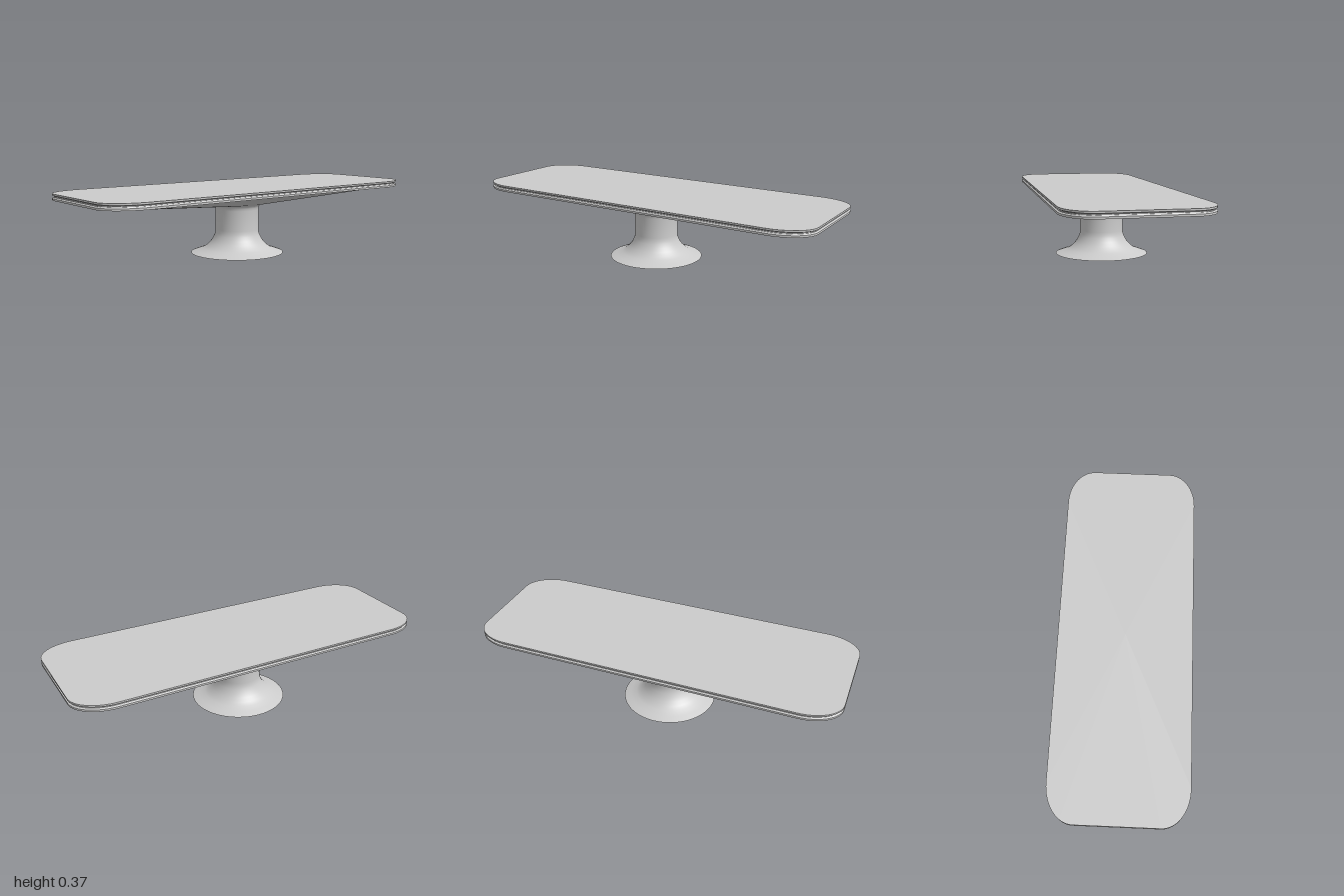
import * as THREE from 'three';
import { toCreasedNormals } from 'three/addons/utils/BufferGeometryUtils.js';

const STEPS = 16; // segments per corner

// Rounded rectangle (or circle, when the corner radii equal the half sizes) at height y
function ring(y, hw, hl, rx = hw, rz = hl) {
  const points = [];
  for (let corner = 0; corner < 4; corner++) {
    const sx = corner === 0 || corner === 3 ? 1 : -1;
    const sz = corner < 2 ? 1 : -1;
    for (let i = 0; i <= STEPS; i++) {
      const a = (corner + i / STEPS) * Math.PI / 2;
      points.push(new THREE.Vector3(sx * (hw - rx) + rx * Math.cos(a), y, sz * (hl - rz) + rz * Math.sin(a)));
    }
  }
  return points;
}

// Skin through rings listed from bottom to top, with optional flat caps
function loft(rings, capped, creaseAngle) {
  const positions = [];
  const tri = (a, b, c) => {
    const area = b.clone().sub(a).cross(c.clone().sub(a)).length();
    if (area > 1e-9) for (const p of [a, b, c]) positions.push(p.x, p.y, p.z);
  };
  const n = rings[0].length;
  for (let r = 0; r < rings.length - 1; r++) {
    for (let i = 0; i < n; i++) {
      const j = (i + 1) % n;
      const lo = rings[r], hi = rings[r + 1];
      tri(lo[i], hi[i], hi[j]);
      tri(lo[i], hi[j], lo[j]);
    }
  }
  if (capped) {
    const lo = rings[0], hi = rings[rings.length - 1];
    const loMid = new THREE.Vector3(0, lo[0].y, 0), hiMid = new THREE.Vector3(0, hi[0].y, 0);
    for (let i = 0; i < n; i++) {
      const j = (i + 1) % n;
      tri(loMid, lo[i], lo[j]);
      tri(hiMid, hi[j], hi[i]);
    }
  }
  const geometry = new THREE.BufferGeometry();
  geometry.setAttribute('position', new THREE.Float32BufferAttribute(positions, 3));
  return toCreasedNormals(geometry, creaseAngle);
}

export function createModel() {
  const group = new THREE.Group();
  const material = new THREE.MeshStandardMaterial({ color: 0xcccccc, side: THREE.DoubleSide });
  const add = (name, geometry) => {
    const mesh = new THREE.Mesh(geometry, material);
    mesh.name = name;
    group.add(mesh);
    return mesh;
  };

  // Table top: two thin slabs with softened inner edges, joined by a recessed core
  const slab = (y, inset) => ring(y, 0.36 - inset, 1 - inset, 0.145 - inset, 0.2 - inset);
  add('lowerTop', loft([slab(0.336, 0), slab(0.346, 0), slab(0.349, 0.006), slab(0.352, 0.008)], true, 0.5));
  add('topCore', loft([slab(0.352, 0.012), slab(0.357, 0.012)], true, 0.5));
  add('upperTop', loft([slab(0.357, 0.008), slab(0.359, 0.006), slab(0.361, 0), slab(0.37, 0)], true, 0.5));

  // Pedestal: hollow trumpet foot and round column spreading out under the table top
  const profile = [
    [0.256, 0], [0.222, 0.0125], [0.188, 0.025], [0.168, 0.039], [0.15, 0.057], [0.136, 0.076],
    [0.126, 0.097], [0.121, 0.112], [0.119, 0.13], [0.119, 0.24],
    [0.121, 0.253], [0.125, 0.262], [0.132, 0.268], [0.14, 0.271],
  ];
  const rings = profile.map(([r, y]) => ring(y, r, r));
  rings.push(ring(0.332, 0.312, 0.955, 0.13, 0.19));
  add('pedestal', loft(rings, false, 0.7)).position.set(-0.008, 0, 0.021);

  return group;
}
